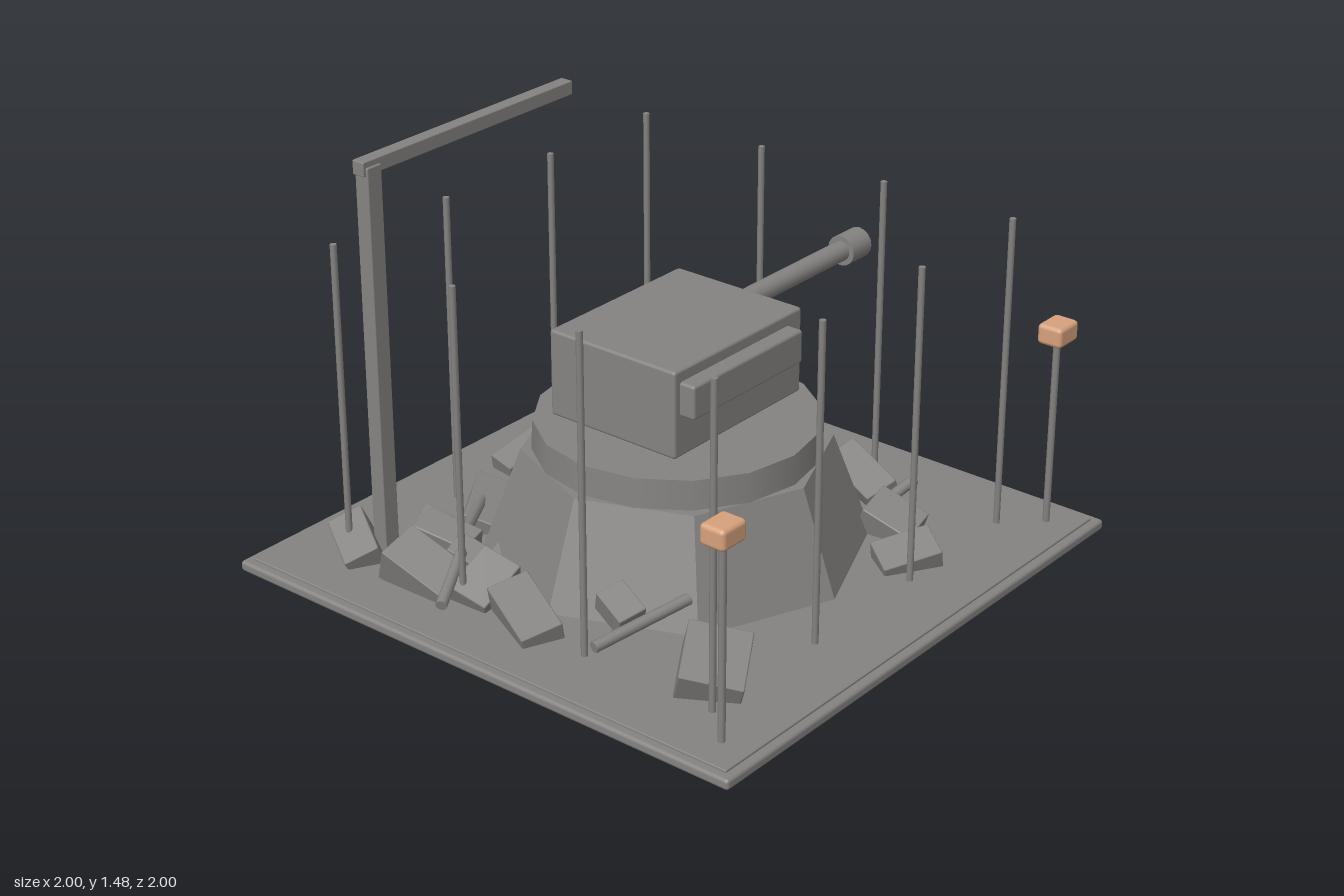
import * as THREE from 'three';
import { RoundedBoxGeometry } from 'three/addons/geometries/RoundedBoxGeometry.js';

export function createModel() {
  const model = new THREE.Group();
  const stone = new THREE.MeshStandardMaterial({ color: 0x858381 });
  stone.name = 'stone grey';
  const amber = new THREE.MeshStandardMaterial({ color: 0xd6a17c });
  amber.name = 'lamp amber';

  const add = (name, geometry, x, y, z, material = stone) => {
    const mesh = new THREE.Mesh(geometry, material);
    mesh.name = name;
    mesh.position.set(x, y, z);
    model.add(mesh);
    return mesh;
  };
  // Bevelled box given by its low and high corners
  const block = (name, lo, hi, bevel, material = stone) => {
    const s = hi.map((v, i) => v - lo[i]);
    const c = hi.map((v, i) => (v + lo[i]) / 2);
    return add(name, new RoundedBoxGeometry(...s, 2, bevel), ...c, material);
  };
  // Round bar between two points
  const bar = (name, a, b, r, sides = 10) => {
    const p = new THREE.Vector3(...a), q = new THREE.Vector3(...b);
    const dir = q.clone().sub(p);
    const mesh = add(name, new THREE.CylinderGeometry(r, r, dir.length(), sides), 0, 0, 0);
    mesh.position.copy(p).add(q).multiplyScalar(0.5);
    mesh.quaternion.setFromUnitVectors(new THREE.Vector3(0, 1, 0), dir.normalize());
  };

  // Ground plate with a slightly raised inner slab
  block('groundPlate', [-1, 0.105, -1], [1, 0.142, 1], 0.012);
  block('groundSlab', [-0.97, 0.12, -0.97], [0.97, 0.15, 0.97], 0.004);

  // Eight-sided pedestal and round collar
  const cone = new THREE.CylinderGeometry(0.505, 0.645, 0.38, 8).toNonIndexed();
  cone.computeVertexNormals();
  add('pedestal', cone, 0, 0.31, 0);
  add('collar', new THREE.CylinderGeometry(0.465, 0.47, 0.1, 16), 0, 0.55, 0);

  // Turret housing, side box and barrel
  block('turret', [-0.32, 0.64, -0.255], [0.315, 0.935, 0.25], 0.01);
  block('sideBox', [-0.295, 0.78, 0.24], [0.25, 0.895, 0.305], 0.01);
  bar('barrel', [0.3, 0.88, 0], [0.9, 0.88, 0], 0.035, 16);
  bar('muzzle', [0.865, 0.88, 0], [0.967, 0.88, 0], 0.053, 16);

  // Mast with a horizontal boom
  block('mast', [-0.7, 0.13, -0.69], [-0.64, 1.49, -0.635], 0.004);
  block('boom', [-0.71, 1.462, -0.69], [0.245, 1.51, -0.643], 0.004);

  // Twelve thin poles around the rim of a four by four grid
  const steps = [-0.75, -0.25, 0.25, 0.745];
  for (const x of steps) for (const z of steps) {
    if (Math.abs(x) < 0.5 && Math.abs(z) < 0.5) continue;
    bar('pole', [x, 0.13, z], [x, 1.23, z], 0.011, 8);
  }

  // Lamps on the two front corners
  for (const side of [-1, 1]) {
    const x = side * 0.858;
    bar('lampPost', [x, 0.14, 0.865], [x, 0.81, 0.865], 0.012, 8);
    block('lamp', [x - 0.055, 0.8, 0.82], [x + 0.055, 0.87, 0.91], 0.015, amber);
  }

  // Rubble block: height follows the footprint, tilt varies with a running count
  let count = 0;
  const rock = (x, z, w, d, yaw, y = 0.18) => {
    const mesh = add('rubble', new RoundedBoxGeometry(w, (w + d) * 0.36, d, 1, 0.005), x, y, z);
    const tilt = 0.3 + 0.12 * Math.sin(count * 2.4);
    mesh.rotation.set(tilt, yaw, 0.3 + 0.12 * Math.cos(count * 1.7), 'YXZ');
    count++;
  };
  // Heap along the left side
  rock(-0.73, -0.73, 0.12, 0.2, -0.5);
  rock(-0.74, -0.43, 0.15, 0.24, 0.12, 0.19);
  rock(-0.58, -0.48, 0.11, 0.2, 0.2, 0.22);
  rock(-0.62, -0.36, 0.09, 0.1, 0.3, 0.23);
  rock(-0.67, -0.23, 0.19, 0.14, 0.15);
  rock(-0.72, -0.01, 0.14, 0.26, -0.4, 0.16);
  rock(-0.57, 0.24, 0.1, 0.13, -0.2, 0.23);
  rock(-0.63, 0.65, 0.22, 0.2, 0.6, 0.2);
  // Pieces behind the pedestal
  rock(-0.48, -0.64, 0.09, 0.1, 0.4);
  rock(-0.3, -0.59, 0.24, 0.11, 0.6, 0.17);
  rock(0.1, -0.74, 0.25, 0.1, -0.1, 0.17);
  rock(0.18, -0.55, 0.1, 0.1, 0.3);
  rock(0.38, -0.49, 0.09, 0.1, 0.6, 0.2);
  // Pieces along the right side and front
  rock(0.54, -0.39, 0.11, 0.12, 0.2, 0.19);
  rock(0.58, -0.04, 0.08, 0.27, -0.1, 0.17);
  rock(0.66, 0.27, 0.12, 0.26, -0.35);
  rock(0.48, 0.51, 0.14, 0.18, 0.2);
  rock(0.34, 0.67, 0.2, 0.13, -0.55, 0.16);
  // Buried pieces poking out under the plate
  rock(-0.12, -0.16, 0.16, 0.15, 0.4, 0.125);
  rock(-0.42, -0.33, 0.13, 0.14, 0.3, 0.14);
  rock(-0.25, 0.19, 0.1, 0.1, 0.2, 0.13);
  rock(0.4, 0.02, 0.12, 0.12, 0.6, 0.14);

  // Loose rods lying on the rubble
  bar('rod', [-0.55, 0.25, -0.43], [-0.25, 0.21, -0.62], 0.019);
  bar('rod', [-0.87, 0.2, -0.23], [-0.66, 0.26, -0.34], 0.019);
  bar('rod', [-0.81, 0.24, 0.34], [-0.46, 0.28, 0.42], 0.019);
  bar('rod', [0.52, 0.24, -0.22], [0.72, 0.26, -0.3], 0.019);
  bar('rod', [0.43, 0.22, 0.46], [0.63, 0.27, 0.49], 0.019);

  return model;
}
